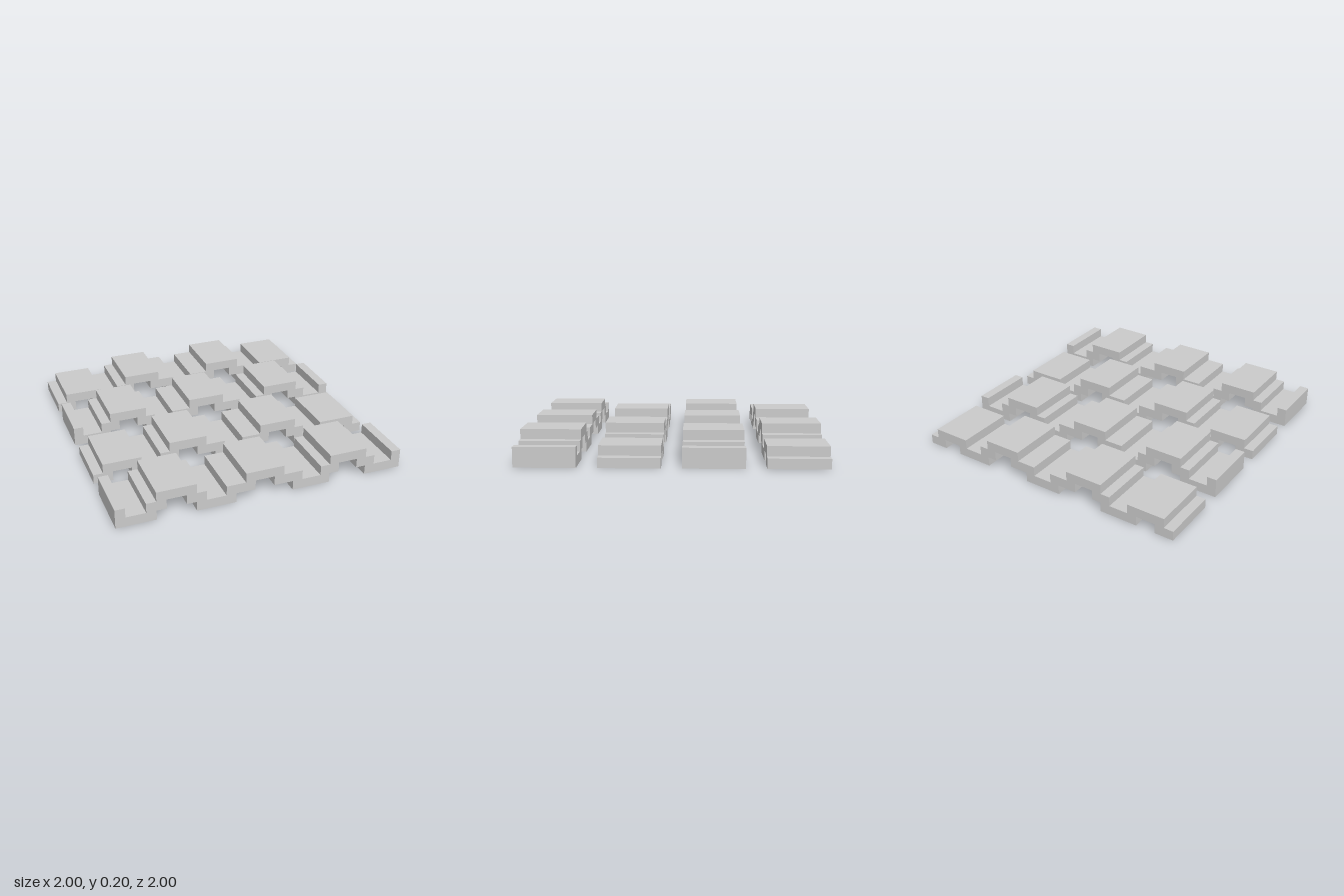
import * as THREE from 'three';

const U = 1 / 15; // one grid step of the slats

// Steps [x, newHeight] from the left end to the middle; the right half is mirrored.
const SLATS = {
  lipped: {
    top: [[-15, 2], [-14, 1], [-12, 2], [-11, 3], [-7, 2], [-6, 1], [-4, 2], [-2, 3]],
    bottom: [[-15, 0], [-11, 1], [-10, 2], [-8, 1], [-7, 0], [-3, 1], [-1, 2]],
  },
  footed: {
    top: [[-15, 1], [-14, 2], [-10, 1], [-8, 2], [-7, 3], [-3, 2], [-1, 1]],
    bottom: [[-15, 0], [-13, 1], [-11, 0], [-7, 1], [-6, 2], [-4, 1], [-2, 0]],
  },
};

// Turn steps into a symmetric staircase line, left to right
function stairLine(steps) {
  const left = [];
  steps.forEach(([x, y], i) => {
    if (i > 0) left.push([x, steps[i - 1][1]]);
    left.push([x, y]);
  });
  const right = left.map(([x, y]) => [-x, y]).reverse();
  return [...left, ...right].map(([x, y]) => new THREE.Vector2(x * U, y * U));
}

// Stepped profile extruded across the width of one slat
function slatGeometry({ top, bottom }) {
  const outline = [...stairLine(bottom), ...stairLine(top).reverse()];
  const geometry = new THREE.ExtrudeGeometry(new THREE.Shape(outline), {
    depth: 6 * U,
    bevelEnabled: false,
  });
  return geometry.translate(0, 0, -3 * U);
}

export function createModel() {
  const group = new THREE.Group();
  group.name = 'wovenSlats';
  const material = new THREE.MeshStandardMaterial({ color: 0xcccccc, flatShading: true });
  const lipped = slatGeometry(SLATS.lipped);
  const footed = slatGeometry(SLATS.footed);

  // Four slats from front to back, alternating the two profiles
  for (let i = 0; i < 4; i++) {
    const slat = new THREE.Mesh(i % 2 ? footed : lipped, material);
    slat.name = i % 2 ? 'footedSlat' : 'lippedSlat';
    slat.position.z = (12 - 8 * i) * U;
    group.add(slat);
  }
  return group;
}
